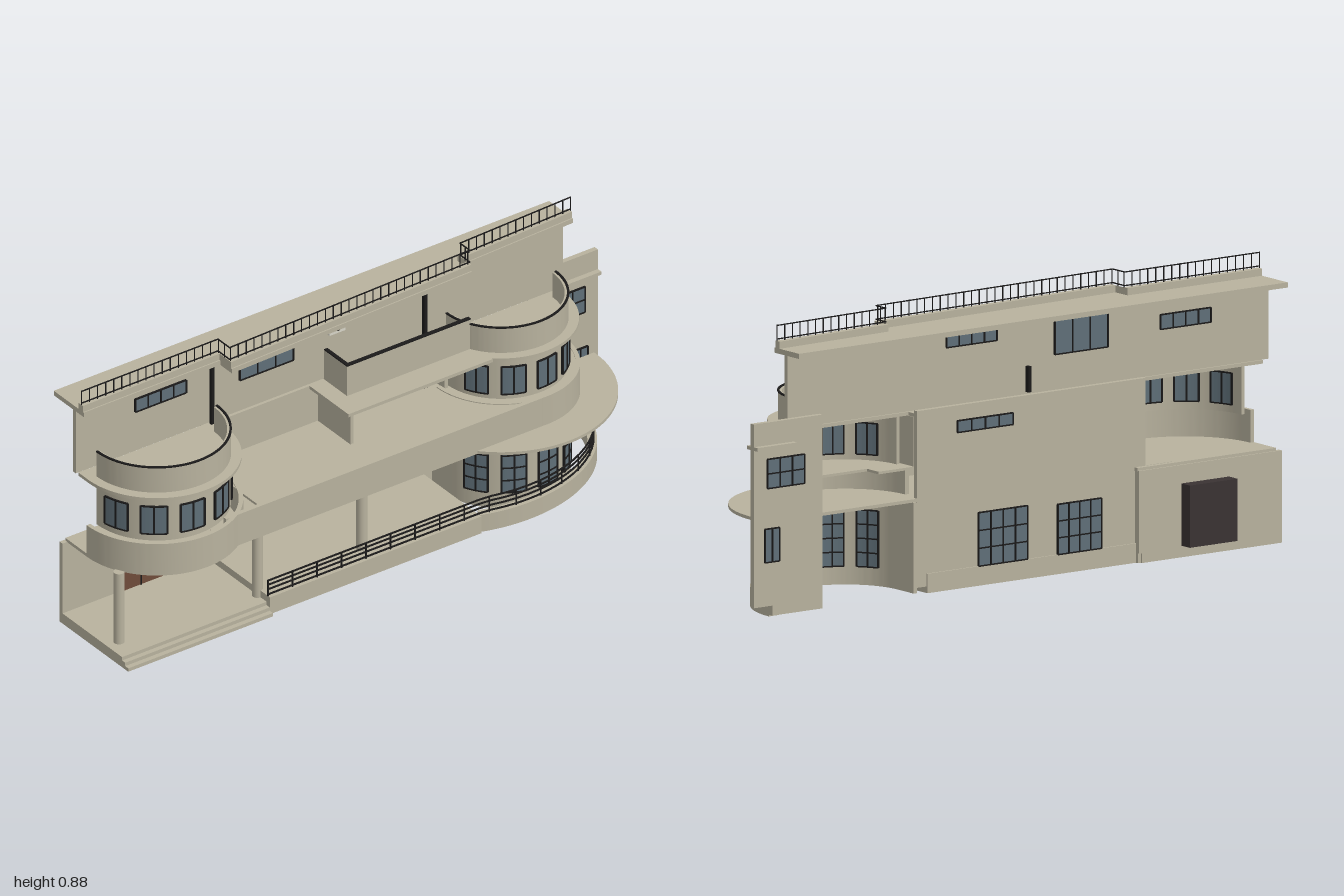
import * as THREE from 'three';
import { mergeGeometries, toCreasedNormals } from 'three/addons/utils/BufferGeometryUtils.js';

const mat = (name, color) => {
  const m = new THREE.MeshStandardMaterial({ color });
  m.name = name;
  return m;
};

export function createModel() {
  const stone = mat('stone', 0xb8b29e);
  const glass = mat('glass', 0x5f6f78);
  const metal = mat('dark metal', 0x1b1a1a);
  const wood = mat('door wood', 0x6f4c3a);
  const dark = mat('dark box', 0x3a3333);
  const cream = mat('cream', 0xd8d5c8);
  const root = new THREE.Group();
  root.name = 'building';

  const add = (name, geo, m, parent = root) => {
    const mesh = new THREE.Mesh(geo, m);
    mesh.name = name;
    parent.add(mesh);
    return mesh;
  };
  const group = (name) => {
    const g = new THREE.Group();
    g.name = name;
    root.add(g);
    return g;
  };
  const boxGeo = (x0, x1, y0, y1, z0, z1) =>
    new THREE.BoxGeometry(x1 - x0, y1 - y0, z1 - z0).translate((x0 + x1) / 2, (y0 + y1) / 2, (z0 + z1) / 2);
  const box = (name, x0, x1, y0, y1, z0, z1, m = stone, parent = root) =>
    add(name, boxGeo(x0, x1, y0, y1, z0, z1), m, parent);

  // Plan shapes are drawn as (x, z) and raised from y0 to y1
  const raise = (shape, y0, y1) => {
    const g = new THREE.ExtrudeGeometry(shape, { depth: y1 - y0, bevelEnabled: false, curveSegments: 40 });
    return toCreasedNormals(g.rotateX(Math.PI / 2).translate(0, y1, 0), 0.5);
  };
  const plan = (pts) => new THREE.Shape(pts.map(([x, z]) => new THREE.Vector2(x, z)));
  const ring = (cx, cz, rx, rz, t, a0, a1) => {
    const s = new THREE.Shape();
    s.absellipse(cx, cz, rx, rz, a0, a1, false, 0);
    s.absellipse(cx, cz, rx - t, rz - t, a1, a0, true, 0);
    s.closePath();
    return s;
  };
  const arcGeo = (b, r, t, a0, a1, y0, y1) => raise(ring(b.x, b.z, r, r, t, a0, a1), y0, y1);
  // Half disc with a straight part reaching back to zBack
  const apron = (b, r, zBack) => {
    const s = new THREE.Shape();
    s.moveTo(b.x + r, zBack);
    s.lineTo(b.x + r, b.z);
    s.absarc(b.x, b.z, r, 0, Math.PI, false);
    s.lineTo(b.x - r, zBack);
    s.closePath();
    return s;
  };

  // Flat window through a wall lying between z0 and z1
  const flatWindow = (name, x0, x1, y0, y1, z0, z1, cols, rows) => {
    const g = group(name), e = 0.003, f = 0.004;
    box('glass', x0, x1, y0, y1, z0 - e, z1 + e, glass, g);
    const bars = [];
    for (let i = 0; i <= cols; i++) {
      const x = x0 + (x1 - x0) * i / cols;
      bars.push(boxGeo(x - f / 2, x + f / 2, y0, y1, z0 - 2 * e, z1 + 2 * e));
    }
    for (let j = 0; j <= rows; j++) {
      const y = y0 + (y1 - y0) * j / rows;
      bars.push(boxGeo(x0, x1, y - f / 2, y + f / 2, z0 - 2 * e, z1 + 2 * e));
    }
    add('frame', mergeGeometries(bars), metal, g);
  };
  // Row of curved windows around a bay
  const bayWindows = (b, r, t, y0, y1, rows) => {
    const g = group('bayWindows'), panes = [], bars = [];
    for (const deg of b.angles) {
      const c = THREE.MathUtils.degToRad(deg), h = 0.18;
      panes.push(arcGeo(b, r + 0.003, t + 0.006, c - h, c + h, y0, y1));
      for (const k of [-h, 0, h]) bars.push(arcGeo(b, r + 0.006, t + 0.012, c + k - 0.013, c + k + 0.013, y0, y1));
      for (let j = 0; j <= rows; j++) {
        const y = y0 + (y1 - y0) * j / rows;
        bars.push(arcGeo(b, r + 0.006, t + 0.012, c - h, c + h, y - 0.002, y + 0.002));
      }
    }
    add('glass', mergeGeometries(panes), glass, g);
    add('frames', mergeGeometries(bars), metal, g);
  };
  // Railing along a line of (x, z) points
  const railing = (name, pts, y0, y1, levels, postGap, r) => {
    const path = new THREE.CurvePath(), parts = [];
    const v = pts.map(([x, z]) => new THREE.Vector3(x, 0, z));
    for (let i = 0; i + 1 < v.length; i++) {
      const d = v[i + 1].clone().sub(v[i]), n = d.length();
      for (const y of levels) {
        parts.push(new THREE.BoxGeometry(n + r, 2 * r, 2 * r).rotateY(-Math.atan2(d.z, d.x))
          .translate((v[i].x + v[i + 1].x) / 2, y, (v[i].z + v[i + 1].z) / 2));
      }
      path.add(new THREE.LineCurve3(v[i], v[i + 1]));
    }
    const n = Math.round(path.getLength() / postGap);
    for (let i = 0; i <= n; i++) {
      const p = path.getPoint(i / n);
      parts.push(new THREE.BoxGeometry(1.6 * r, y1 - y0, 1.6 * r).translate(p.x, (y0 + y1) / 2, p.z));
    }
    add(name, mergeGeometries(parts), metal);
  };

  // Base, entrance steps and curved plinth
  box('terraceBase', -0.46, 0.33, 0, 0.06, -0.19, 0.135);
  for (let i = 0; i < 3; i++) box('entranceStep', -1, -0.46, i * 0.012, (i + 1) * 0.012, -0.2, 0.15 - i * 0.016);
  const a0 = Math.PI * 0.63;
  add('curvedPlinth', raise(ring(0.5, -0.19, 0.43, 0.345, 0.03, 0, a0), 0, 0.06), stone);
  const railPts = [[-0.46, 0.125], [0.33, 0.125]];
  for (let i = 1; i <= 20; i++) {
    const a = a0 * (1 - i / 20);
    railPts.push([0.5 + 0.42 * Math.cos(a), -0.19 + 0.335 * Math.sin(a)]);
  }
  railing('terraceRailing', railPts, 0.06, 0.117, [0.066, 0.084, 0.1, 0.115], 0.09, 0.0022);

  // Rear walls and roof ledge
  box('rearWall', -0.5, 0.365, 0.02, 0.565, -0.185, -0.168);
  box('rearLedge', -0.5, 0.365, 0.545, 0.556, -0.185, -0.13);
  box('entranceWall', -1, -0.47, 0, 0.285, -0.205, -0.19);
  box('entranceCorner', -0.5, -0.46, 0.03, 0.285, -0.205, -0.15);
  box('upperWall', -0.99, 0.83, 0.56, 0.79, -0.15, -0.135);
  for (const x of [-0.5, 0.355]) box('sideWall', x, x + 0.012, 0.39, 0.545, -0.17, -0.09);
  flatWindow('groundWindow', -0.33, -0.165, 0.06, 0.215, -0.185, -0.168, 4, 3);
  flatWindow('groundWindow', -0.05, 0.135, 0.06, 0.225, -0.185, -0.168, 4, 3);
  flatWindow('middleWindow', 0.005, 0.215, 0.482, 0.518, -0.185, -0.168, 4, 1);
  flatWindow('upperWindow', -0.77, -0.58, 0.7, 0.745, -0.15, -0.135, 4, 1);
  flatWindow('upperWindow', -0.38, -0.18, 0.67, 0.78, -0.15, -0.135, 3, 1);
  flatWindow('upperWindow', 0.04, 0.23, 0.74, 0.775, -0.15, -0.135, 4, 1);

  // Entrance door with the dark box behind it
  box('door', -0.8, -0.62, 0.036, 0.226, -0.192, -0.186, wood);
  for (const x of [-0.8, -0.71, -0.62]) box('doorStile', x - 0.002, x + 0.002, 0.036, 0.226, -0.19, -0.183, metal);
  for (const x of [-0.68, -0.65]) box('doorPanel', x - 0.004, x + 0.004, 0.09, 0.2, -0.19, -0.184, dark);
  box('rearBox', -0.8, -0.62, 0.036, 0.228, -0.248, -0.2, dark);

  // First floor band, ceiling, terrace deck and columns
  box('parapetBand', -0.62, 0.56, 0.29, 0.395, 0.115, 0.13);
  box('ceiling', -0.6, 0.45, 0.285, 0.295, -0.185, 0.13);
  box('terraceDeck', -0.49, 0.5, 0.384, 0.392, -0.17, 0.12);
  for (const [x, z, y] of [[-0.955, 0.04, 0.03], [-0.46, 0.07, 0.03], [-0.07, 0.07, 0.06]]) {
    add('column', new THREE.CylinderGeometry(0.017, 0.017, 0.286 - y, 20).translate(x, (y + 0.286) / 2, z), stone);
  }

  // Rounded bays, open at the back
  const left = { x: -0.72, z: -0.09, r: 0.225, angles: [33, 65, 97, 128, 159] };
  const right = { x: 0.58, z: -0.11, r: 0.205, angles: [21, 52, 83, 115, 147] };
  for (const b of [left, right]) {
    const t = 0.012;
    add('bayWall', arcGeo(b, b.r, t, 0, Math.PI, 0.385, 0.545), stone);
    bayWindows(b, b.r, t, 0.41, 0.507, 1);
    add('bayRoof', raise(apron(b, b.r + 0.032, -0.14), 0.545, 0.556), stone);
    add('bayCrown', arcGeo(b, b.r, t, 0, Math.PI, 0.556, 0.643), stone);
    add('crownRim', arcGeo(b, b.r + 0.002, 0.007, 0, Math.PI, 0.643, 0.647), metal);
  }
  add('leftParapet', arcGeo(left, 0.262, 0.014, 0, Math.PI, 0.285, 0.395), stone);
  add('leftFloor', raise(apron(left, 0.262, -0.2), 0.283, 0.294), stone);
  add('rightParapet', arcGeo(right, 0.24, 0.014, 0, Math.PI, 0.29, 0.395), stone);
  add('rightFloor', raise(apron(right, 0.235, right.z - 0.002), 0.384, 0.392), stone);
  const canopy = apron(right, 0.355, right.z - 0.01);
  add('rightCanopy', raise(canopy, 0.285, 0.295), stone);
  box('rightCanopyBack', 0.36, 0.82, 0.285, 0.295, -0.185, -0.11);
  add('groundBay', arcGeo(right, 0.21, 0.012, 0, Math.PI, 0.005, 0.285), stone);
  for (const x of [0.37, 0.778]) box('groundBaySide', x, x + 0.012, 0.005, 0.285, -0.19, -0.11);
  bayWindows(right, 0.21, 0.012, 0.062, 0.237, 4);

  // Central balcony over the recess
  box('balconySlab', -0.12, 0.42, 0.545, 0.556, -0.14, 0.07);
  box('balconyFront', -0.062, 0.4, 0.556, 0.66, -0.03, -0.017);
  box('balconySide', -0.062, -0.05, 0.556, 0.66, -0.14, -0.03);
  box('balconyRim', -0.062, 0.4, 0.66, 0.664, -0.03, -0.017, metal);
  box('balconySideRim', -0.062, -0.05, 0.66, 0.664, -0.14, -0.03, metal);
  box('recessFin', -0.062, -0.05, 0.392, 0.545, -0.17, 0);

  // Rear fin wall with its cap
  box('finWall', 0.74, 1, 0.036, 0.603, -0.207, -0.19);
  box('finFoot', 0.74, 0.93, 0.005, 0.036, -0.207, -0.19);
  box('finCap', 0.85, 1, 0.522, 0.533, -0.225, -0.172);
  flatWindow('finWindow', 0.81, 0.95, 0.4, 0.49, -0.207, -0.19, 3, 2);
  flatWindow('finWindow', 0.905, 0.96, 0.172, 0.275, -0.207, -0.19, 2, 1);

  // Roof slab, kerb and railing with a stepped front edge
  const edge = [[-1, -0.08], [-0.49, -0.08], [-0.49, -0.02], [0.425, -0.045], [0.425, -0.095], [0.85, -0.112]];
  add('roofSlab', raise(plan([[-1, -0.235], ...edge, [0.85, -0.235]]), 0.792, 0.808), stone);
  const inner = edge.map(([x, z]) => [x === -0.49 ? x + 0.0 : x, z - 0.02]);
  const kerbFront = edge.map(([x, z]) => [x, z - 0.004]);
  add('roofKerb', raise(plan([...kerbFront, ...inner.reverse().map(([x, z]) => [x, z - 0.006])]), 0.808, 0.83), stone);
  railing('roofRailing', edge.map(([x, z]) => [x, z - 0.012]), 0.83, 0.88, [0.836, 0.878], 0.03, 0.0016);

  // Downpipes, rear vent and wall lamp
  for (const x of [-0.485, 0.31]) box('downpipe', x - 0.006, x + 0.006, 0.395, 0.785, -0.135, -0.124, metal);
  box('rearVent', -0.075, -0.063, 0.57, 0.65, -0.175, -0.16, metal);
  box('lampPlate', -0.065, -0.005, 0.727, 0.778, -0.135, -0.104, cream);
  add('lamp', new THREE.CylinderGeometry(0.015, 0.015, 0.006, 20).rotateX(Math.PI / 2).translate(-0.035, 0.752, -0.102), metal);
  return root;
}
